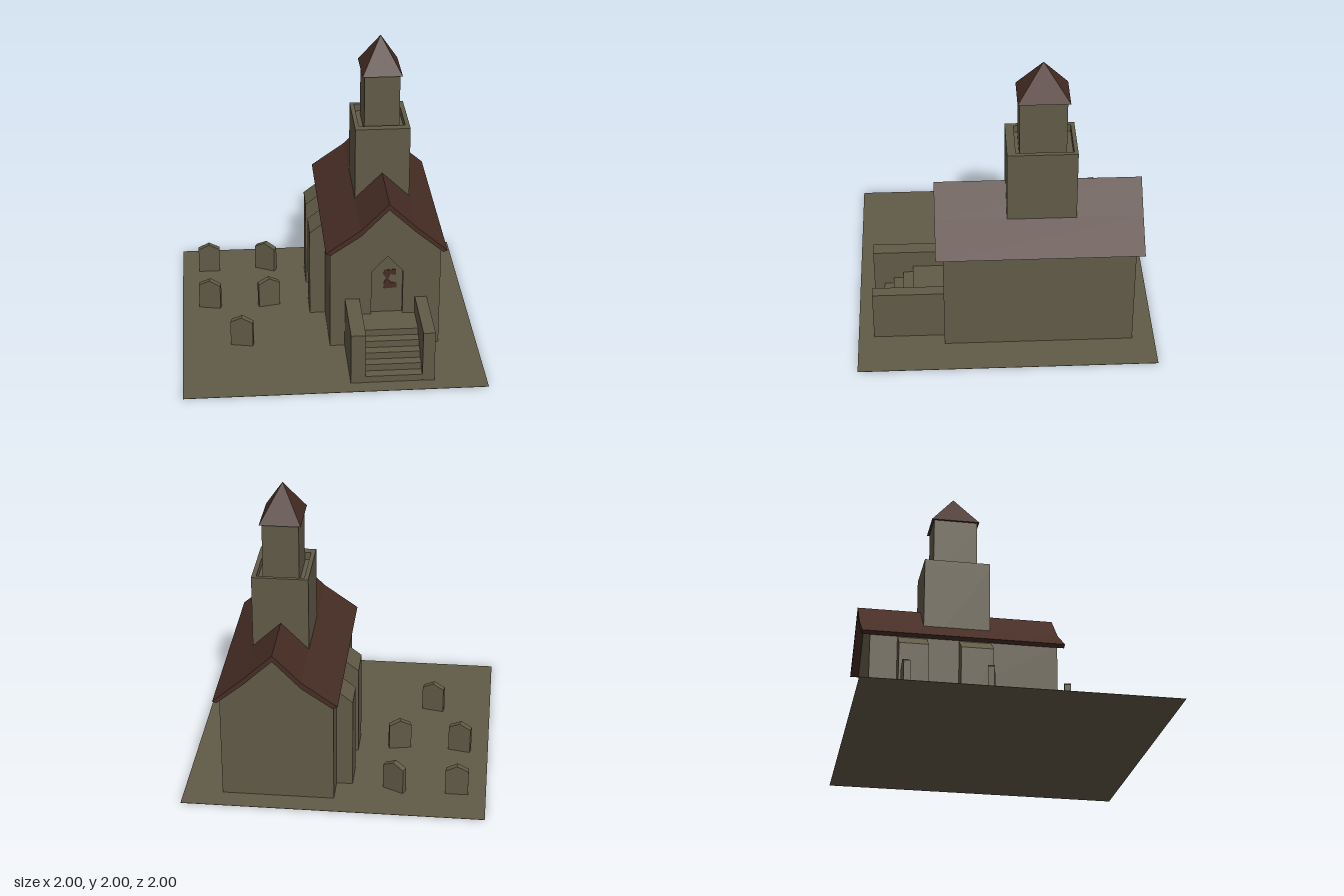
import * as THREE from 'three';

const stone = new THREE.MeshStandardMaterial({ name: 'stone', color: 0x615a47 });
const roofBrown = new THREE.MeshStandardMaterial({ name: 'roofBrown', color: 0x472d25 });

const toVectors = (points) => points.map(([x, y]) => new THREE.Vector2(x, y));

function part(name, geometry, material) {
  const mesh = new THREE.Mesh(geometry, material);
  mesh.name = name;
  return mesh;
}

// Outline in x and y, pushed from z0 to z1
function prism(name, points, z0, z1, material, hole) {
  const shape = new THREE.Shape(toVectors(points));
  if (hole) shape.holes.push(new THREE.Path(toVectors(hole)));
  const geometry = new THREE.ExtrudeGeometry(shape, { depth: z1 - z0, bevelEnabled: false });
  return part(name, geometry.translate(0, 0, z0), material);
}

// Box given by its limits on each axis
function block(name, [x0, x1], [y0, y1], [z0, z1], material = stone) {
  const geometry = new THREE.BoxGeometry(x1 - x0, y1 - y0, z1 - z0);
  return part(name, geometry.translate((x0 + x1) / 2, (y0 + y1) / 2, (z0 + z1) / 2), material);
}

const rect = (x0, x1, y0, y1) => [[x0, y0], [x1, y0], [x1, y1], [x0, y1]];

export function createModel() {
  const model = new THREE.Group();
  model.name = 'chapelWithGraveyard';

  model.add(block('ground', [-1, 1], [0, 0.002], [-1, 1]));

  // Nave, with a pointed doorway let into the front wall
  const gable = [[0, 0], [0.742, 0], [0.742, 0.73], [0.57, 0.88], [0.385, 1.055], [0.2, 0.865], [0, 0.725]];
  const doorway = [[0.278, 0.24], [0.278, 0.565], [0.385, 0.68], [0.49, 0.565], [0.49, 0.24]];
  model.add(prism('nave', gable, -0.85, 0.388, stone));
  model.add(prism('frontWall', gable, 0.388, 0.418, stone, doorway));
  model.add(prism('doorMark', [
    [0.365, 0.56], [0.445, 0.565], [0.445, 0.52], [0.41, 0.53], [0.395, 0.495], [0.41, 0.465],
    [0.45, 0.465], [0.45, 0.425], [0.365, 0.42], [0.362, 0.46], [0.38, 0.495], [0.362, 0.53],
  ], 0.388, 0.392, roofBrown));

  // Overhanging roof slab
  model.add(prism('roof', [
    [-0.033, 0.74], [0, 0.725], [0.2, 0.86], [0.385, 1.05], [0.57, 0.875], [0.75, 0.725],
    [0.778, 0.735], [0.57, 0.915], [0.385, 1.092], [0.2, 0.905],
  ], -0.905, 0.466, roofBrown));

  // Sloped buttresses on the graveyard side
  for (const [z0, z1] of [[-0.667, -0.468], [-0.252, 0.032 - 0.064]]) {
    model.add(prism('buttress', [[-0.108, 0], [0.02, 0], [0.02, 0.72], [0, 0.72], [-0.108, 0.635]], z0, z1, stone));
  }

  // Lower tower with a raised parapet rim
  model.add(block('towerBase', [0.201, 0.573], [0.7, 1.365], [-0.466, -0.008]));
  const rim = prism('parapet', rect(0.201, 0.573, 0.008, 0.466), 1.365, 1.416, stone, rect(0.23, 0.543, 0.065, 0.44));
  rim.geometry.rotateX(-Math.PI / 2);
  model.add(rim);

  // Belfry and pyramid spire
  model.add(block('belfry', [0.268, 0.507], [1.36, 1.77], [-0.396, -0.09]));
  const spire = new THREE.ConeGeometry(Math.SQRT1_2, 1, 4).toNonIndexed();
  spire.rotateY(Math.PI / 4).scale(0.27, 0.235, 0.338).translate(0.387, 1.8825, -0.245);
  spire.computeVertexNormals();
  model.add(part('spire', spire, roofBrown));

  // Stairs between two low walls
  model.add(block('stairWallRight', [0.1, 0.198], [0, 0.362], [0.41, 0.895]));
  model.add(block('stairWallLeft', [0.573, 0.653], [0, 0.362], [0.41, 0.895]));
  for (let i = 0; i < 5; i++) {
    model.add(block('step', [0.198, 0.573], [i * 0.048, (i + 1) * 0.048], [0.41, 0.893 - i * 0.067]));
  }

  // Gravestones: x, z and turn
  const graves = [[-0.805, -0.703, 0], [-0.39, -0.7, -0.45], [-0.805, -0.172, -0.2], [-0.39, -0.172, 0.2], [-0.595, 0.35, -0.2]];
  for (const [x, z, turn] of graves) {
    const grave = prism('gravestone', [[-0.076, 0], [0.076, 0], [0.076, 0.18], [0, 0.218], [-0.076, 0.18]], -0.021, 0.021, stone);
    grave.position.set(x, 0, z);
    grave.rotation.y = turn;
    model.add(grave);
  }

  return model;
}
